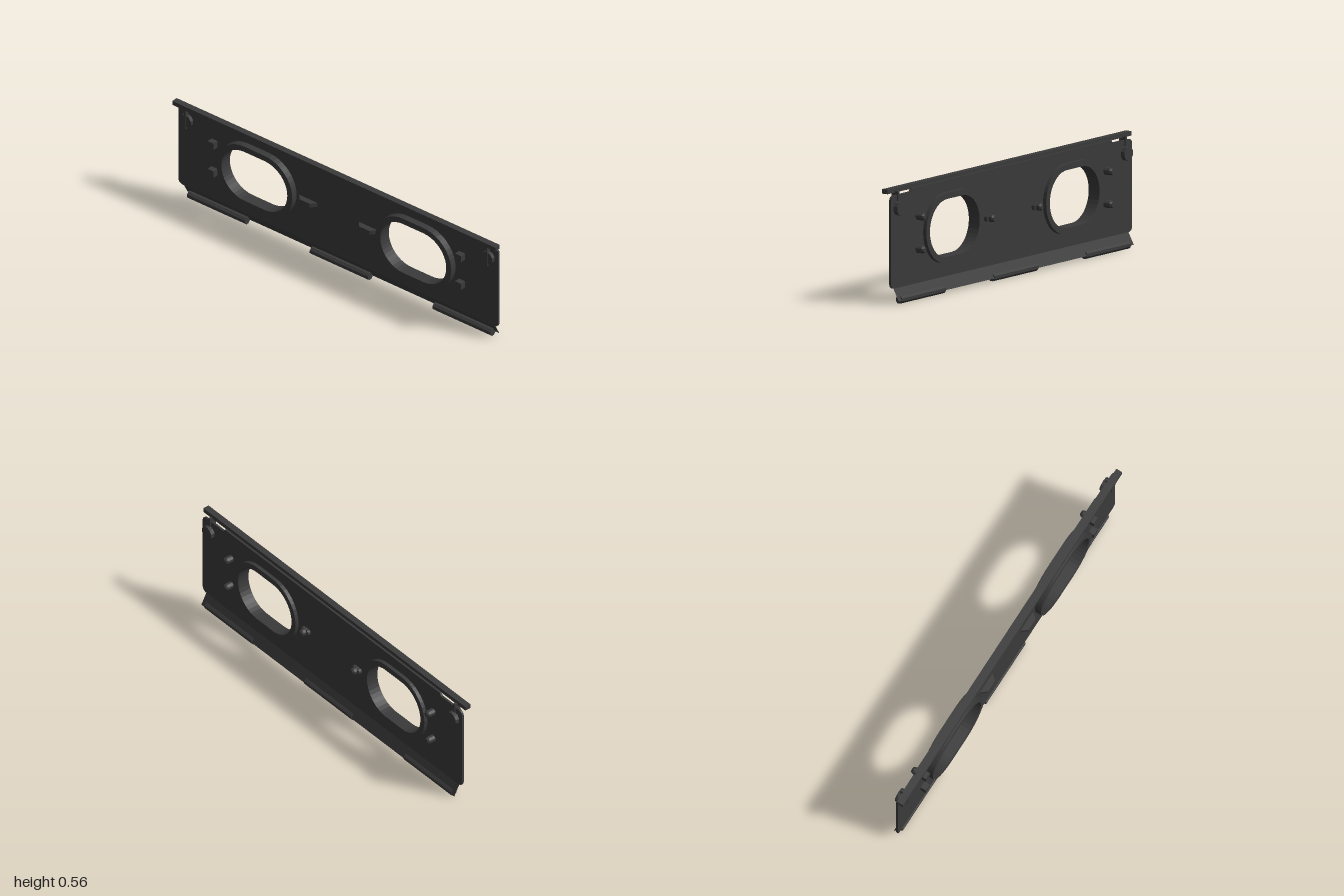
import * as THREE from 'three';

const material = new THREE.MeshStandardMaterial({ color: 0x3a3a3a, flatShading: true, side: THREE.DoubleSide });

function add(parent, name, geometry, x = 0, y = 0, z = 0) {
  const mesh = new THREE.Mesh(geometry, material);
  mesh.name = name;
  mesh.position.set(x, y, z);
  parent.add(mesh);
  return mesh;
}

// Stadium outline centred on (cx, cy), flat on top and bottom
function stadium(Type, cx, cy, flat, r) {
  const s = new Type();
  s.absarc(cx + flat, cy, r, -Math.PI / 2, Math.PI / 2, false);
  s.absarc(cx - flat, cy, r, Math.PI / 2, Math.PI * 1.5, false);
  s.closePath();
  return s;
}

// Extrusion from z0 to z1
function slab(shape, z0, z1, curveSegments = 10) {
  return new THREE.ExtrudeGeometry(shape, { depth: z1 - z0, bevelEnabled: false, curveSegments }).translate(0, 0, z0);
}

// Eight-sided stud pointing backwards, with a chamfered tip
function studGeometry(r, length) {
  const profile = [[0, 0], [r, 0], [r, length * 0.8], [r * 0.65, length], [0, length]];
  return new THREE.LatheGeometry(profile.map(p => new THREE.Vector2(...p)), 8, Math.PI / 8).rotateX(-Math.PI / 2);
}

const CX = 0.492, CY = 0.314, FLAT = 0.063;

export function createModel() {
  const model = new THREE.Group();
  model.name = 'hingedPanel';

  // Main plate: rounded corners, raised middle of the top edge, two openings
  const w = 0.99, b = 0.075, t = 0.528, r = 0.03;
  const plate = new THREE.Shape();
  plate.moveTo(-w + r, b);
  plate.lineTo(w - r, b);
  plate.quadraticCurveTo(w, b, w, b + r);
  plate.lineTo(w, t - r);
  plate.quadraticCurveTo(w, t, w - r, t);
  plate.lineTo(0.83, t);
  plate.lineTo(0.82, 0.543);
  plate.lineTo(-0.82, 0.543);
  plate.lineTo(-0.83, t);
  plate.lineTo(-w + r, t);
  plate.quadraticCurveTo(-w, t, -w, t - r);
  plate.lineTo(-w, b + r);
  plate.quadraticCurveTo(-w, b, -w + r, b);
  for (const s of [-1, 1]) plate.holes.push(stadium(THREE.Path, s * CX, CY, FLAT, 0.15));
  add(model, 'plate', slab(plate, 0, 0.011, 8));

  // Rail along the top edge
  add(model, 'topRail', new THREE.BoxGeometry(2, 0.022, 0.033), 0, 0.549, 0.0285);

  // Sloping flap below the plate
  const flapLength = Math.hypot(0.063, 0.034);
  const flap = add(model, 'flap', new THREE.PlaneGeometry(1.93, flapLength), 0, 0.0465, -0.011);
  flap.rotation.x = Math.atan2(0.034, 0.063);

  // Hinge barrels
  for (const x of [-0.76, 0, 0.76]) {
    const barrel = new THREE.CylinderGeometry(0.0197, 0.0197, 0.36, 8, 1, false, Math.PI / 8).rotateZ(Math.PI / 2);
    add(model, 'hingeBarrel', barrel, x, 0.0185, -0.011);
  }

  for (const s of [-1, 1]) {
    const half = new THREE.Group();
    half.name = s > 0 ? 'leftFittings' : 'rightFittings';
    model.add(half);

    // Raised rim around the opening
    const rim = stadium(THREE.Shape, s * CX, CY, FLAT, 0.171);
    rim.holes.push(stadium(THREE.Path, s * CX, CY, FLAT, 0.141));
    add(half, 'openingRim', slab(rim, -0.019, 0.045));

    // Square blocks in front with studs behind
    for (const y of [0.4, 0.24]) {
      add(half, 'block', new THREE.BoxGeometry(0.037, 0.036, 0.03), s * 0.766, y, 0.026);
      add(half, 'stud', studGeometry(0.0185, 0.044), s * 0.77, y, 0);
    }

    // Tapered bar in front, its stud and oblong base behind
    const bar = new THREE.Shape([[-0.057, 0], [0.057, 0], [0.032, 0.03], [-0.032, 0.03]].map(p => new THREE.Vector2(...p)));
    add(half, 'gripBar', slab(bar, -0.011, 0.011).rotateX(Math.PI / 2), s * 0.185, 0.312, 0.011);
    add(half, 'barStud', studGeometry(0.0185, 0.041), s * 0.195, 0.31, 0);
    add(half, 'barStudBase', slab(stadium(THREE.Shape, 0, 0, 0.015, 0.016), -0.016, 0, 4), s * 0.195, 0.31, 0);

    // Turn latch: disc through the plate, upright fin and stem to the rail
    const disc = new THREE.CylinderGeometry(0.036, 0.036, 0.05, 10).rotateX(Math.PI / 2);
    add(half, 'latchDisc', disc, s * 0.933, 0.463, 0.004);
    add(half, 'latchFin', new THREE.BoxGeometry(0.01, 0.12, 0.022), s * 0.933, 0.481, 0.022);
    add(half, 'latchStem', new THREE.BoxGeometry(0.012, 0.05, 0.034), s * 0.933, 0.52, 0.012);
  }
  return model;
}
